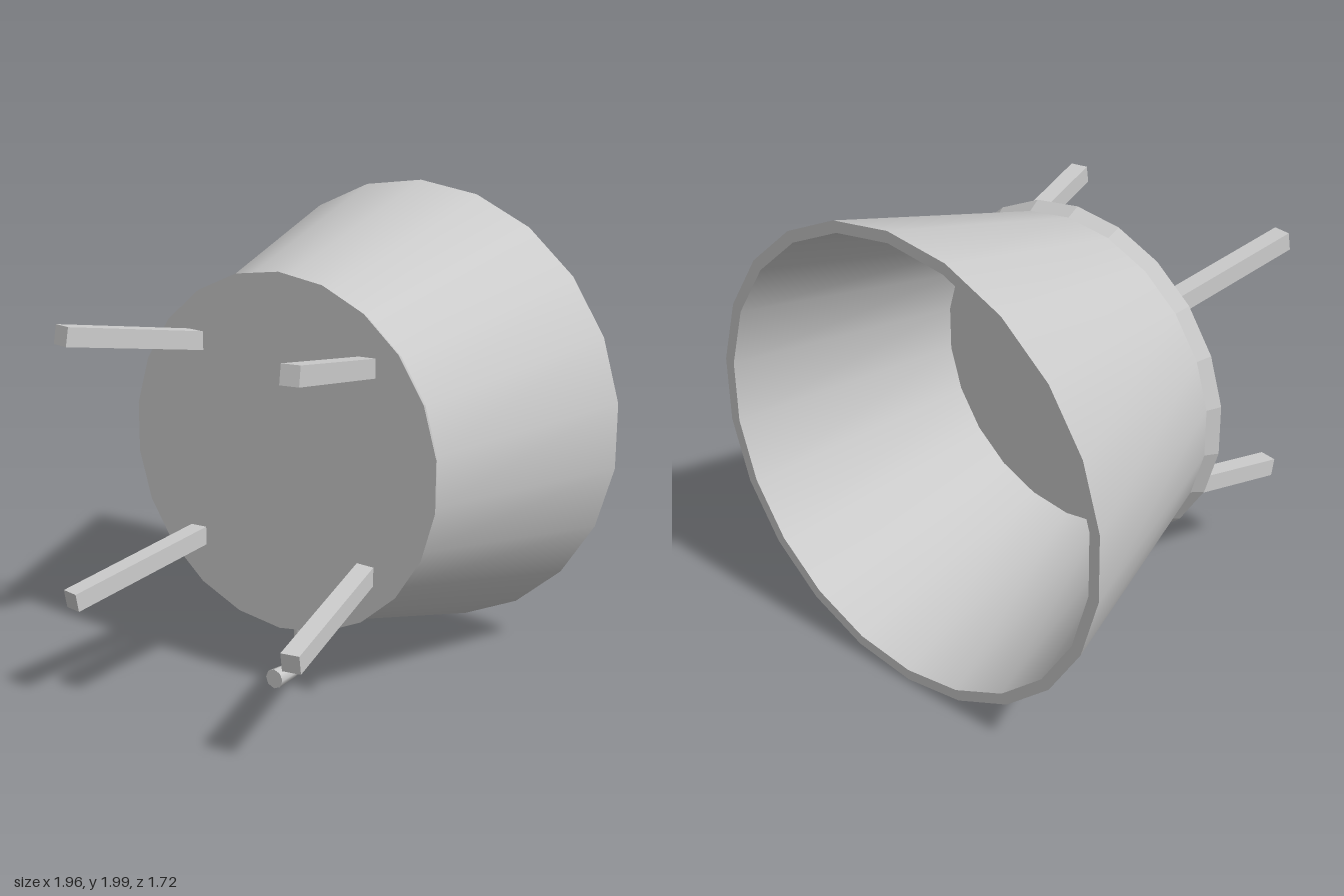
import * as THREE from 'three';

const SIDES = 22;
const AXIS_Y = 1.01; // height of the tub's horizontal axis

function material(options = {}) {
  return new THREE.MeshStandardMaterial({ color: 0xcccccc, ...options });
}

function addMesh(parent, name, geometry, options) {
  const mesh = new THREE.Mesh(geometry, material(options));
  mesh.name = name;
  parent.add(mesh);
  return mesh;
}

// Band turned around the z axis; points are [radius, z]
function turned(points) {
  const profile = points.map(([r, z]) => new THREE.Vector2(r, z));
  return new THREE.LatheGeometry(profile, SIDES).rotateX(Math.PI / 2);
}

function createTub() {
  const tub = new THREE.Group();
  tub.name = 'tub';
  tub.position.y = AXIS_Y;
  addMesh(tub, 'outerWall', turned([[0.99, -0.86], [0.715, 0.125]]));
  addMesh(tub, 'baseLip', turned([[0.715, 0.125], [0.745, 0.18]]), { flatShading: true });
  addMesh(tub, 'baseDisc', turned([[0.745, 0.18], [0, 0.18]]));
  addMesh(tub, 'innerFloor', turned([[0, 0.125], [0.675, 0.125]]));
  addMesh(tub, 'innerWall', turned([[0.675, 0.125], [0.943, -0.86]]));
  addMesh(tub, 'rim', turned([[0.943, -0.86], [0.99, -0.86]]));
  return tub;
}

// Splayed square leg from the base disc outwards
function createLeg(sx, sy) {
  const start = new THREE.Vector3(sx * 0.415, AXIS_Y + sy * 0.415, 0.15);
  const end = new THREE.Vector3(sx * 0.54, AXIS_Y + sy * 0.54, 0.842);
  const length = start.distanceTo(end);
  const leg = new THREE.Mesh(new THREE.BoxGeometry(0.077, 0.077, length), material());
  leg.name = 'leg';
  leg.position.copy(start).add(end).multiplyScalar(0.5);
  leg.lookAt(end);
  return leg;
}

function createTap() {
  const tap = new THREE.Group();
  tap.name = 'tap';

  // Bent spout that widens towards its mouth
  const path = new THREE.CurvePath();
  const v = (y, z) => new THREE.Vector3(0, y, z);
  path.add(new THREE.LineCurve3(v(0.29, 0.033), v(0.13, 0.033)));
  path.add(new THREE.QuadraticBezierCurve3(v(0.13, 0.033), v(0.05, 0.033), v(0.048, 0.11)));
  path.add(new THREE.LineCurve3(v(0.048, 0.11), v(0.05, 0.22)));
  const rings = 18, sides = 8;
  const spout = new THREE.TubeGeometry(path, rings, 1, sides);
  const pos = spout.attributes.position;
  const p = new THREE.Vector3();
  for (let i = 0; i <= rings; i++) {
    const t = i / rings;
    const center = path.getPointAt(t);
    const radius = 0.028 + 0.014 * Math.max(0, (t - 0.5) / 0.5);
    for (let j = 0; j <= sides; j++) {
      const k = i * (sides + 1) + j;
      p.fromBufferAttribute(pos, k).sub(center).multiplyScalar(radius).add(center);
      pos.setXYZ(k, p.x, p.y, p.z);
    }
  }
  addMesh(tap, 'spout', spout);
  addMesh(tap, 'spoutMouth', new THREE.CircleGeometry(0.042, sides)).position.set(0, 0.05, 0.22);

  // Lever: small cone at the pipe, then a thin blade widening to the back
  const collar = new THREE.CylinderGeometry(0.004, 0.014, 0.03, 8).rotateX(-Math.PI / 2);
  addMesh(tap, 'leverCollar', collar, { flatShading: true }).position.set(0, 0.125, -0.005);
  const blade = new THREE.BoxGeometry(1, 1, 0.14);
  const b = blade.attributes.position;
  for (let i = 0; i < b.count; i++) {
    const back = b.getZ(i) < 0;
    b.setX(i, b.getX(i) * (back ? 0.06 : 0.014));
    b.setY(i, b.getY(i) * (back ? 0.016 : 0.008));
  }
  addMesh(tap, 'leverBlade', blade, { flatShading: true }).position.set(0, 0.125, -0.07);
  return tap;
}

export function createModel() {
  const model = new THREE.Group();
  model.name = 'tubWithTap';
  model.add(createTub());
  const legs = new THREE.Group();
  legs.name = 'legs';
  for (const sx of [-1, 1]) for (const sy of [-1, 1]) legs.add(createLeg(sx, sy));
  model.add(legs, createTap());
  return model;
}
